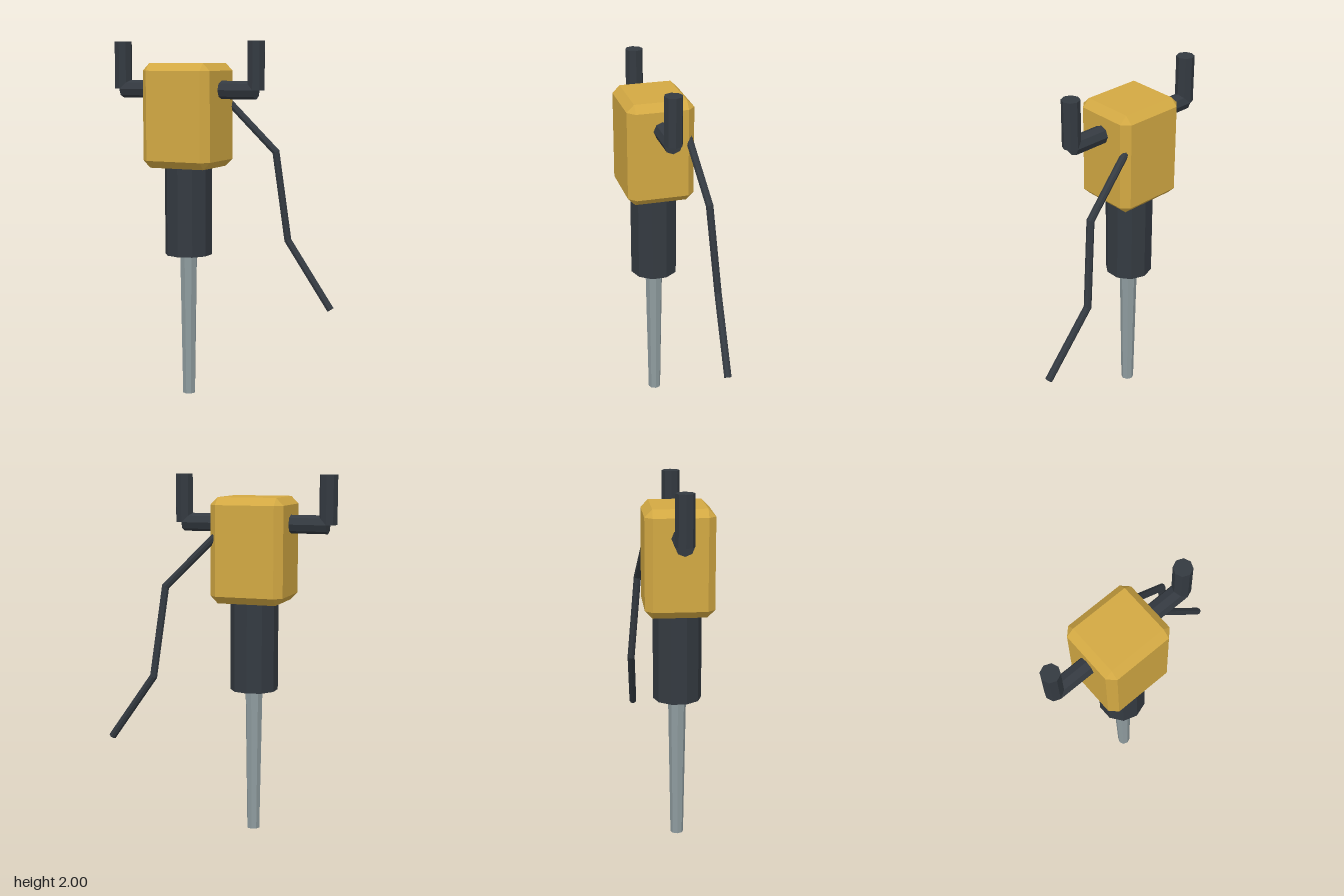
import * as THREE from 'three';
import { ConvexGeometry } from 'three/addons/geometries/ConvexGeometry.js';

const CX = -0.17, CZ = 0.03; // axis of the tool

// Box with a flat chamfer on every edge
function chamferedBox(w, h, d, c) {
  const points = [];
  for (const x of [-1, 1]) for (const y of [-1, 1]) for (const z of [-1, 1]) {
    const [a, b, e] = [x * w / 2, y * h / 2, z * d / 2];
    points.push(
      new THREE.Vector3(a, b - y * c, e - z * c),
      new THREE.Vector3(a - x * c, b, e - z * c),
      new THREE.Vector3(a - x * c, b - y * c, e));
  }
  return new ConvexGeometry(points);
}

// Capped tube along straight segments with mitred joints
function mitredTube(path, radius, sides) {
  const pts = path.map(p => new THREE.Vector3(...p));
  const dirs = pts.slice(1).map((p, i) => p.clone().sub(pts[i]).normalize());
  const u = new THREE.Vector3(0, 0, 1).cross(dirs[0]).normalize();
  const v = dirs[0].clone().cross(u);
  const pos = [], index = [];
  pts.forEach((p, i) => {
    const along = dirs[Math.max(0, i - 1)];
    const normal = along.clone().add(dirs[Math.min(i, dirs.length - 1)]).normalize();
    for (let s = 0; s < sides; s++) {
      const t = s / sides * Math.PI * 2;
      // First ring is round; later rings slide along the segment to the mitre plane
      const q = i === 0
        ? p.clone().addScaledVector(u, radius * Math.cos(t)).addScaledVector(v, radius * Math.sin(t))
        : new THREE.Vector3().fromArray(pos, ((i - 1) * sides + s) * 3);
      const shift = p.clone().sub(q).dot(normal) / along.dot(normal);
      q.addScaledVector(along, shift);
      pos.push(q.x, q.y, q.z);
      if (i > 0) {
        const n = (s + 1) % sides, a = (i - 1) * sides, b = i * sides;
        index.push(a + s, a + n, b + s, a + n, b + n, b + s);
      }
    }
  });
  const last = (pts.length - 1) * sides;
  for (let s = 1; s < sides - 1; s++) index.push(0, s + 1, s, last, last + s, last + s + 1);
  const g = new THREE.BufferGeometry();
  g.setAttribute('position', new THREE.Float32BufferAttribute(pos, 3));
  g.setIndex(index);
  const flat = g.toNonIndexed();
  flat.computeVertexNormals();
  return flat;
}

export function createModel() {
  const model = new THREE.Group();
  model.name = 'jackhammer';
  const paint = (name, color) => {
    const m = new THREE.MeshStandardMaterial({ color, flatShading: true });
    m.name = name;
    return m;
  };
  const yellow = paint('yellow housing', 0xd3a943);
  const dark = paint('dark rubber', 0x343a41);
  const steel = paint('steel', 0x8f9c9f);

  const add = (name, geometry, material, x = 0, y = 0, z = 0) => {
    const mesh = new THREE.Mesh(geometry, material);
    mesh.name = name;
    mesh.position.set(x, y, z);
    model.add(mesh);
    return mesh;
  };

  // Central column: housing, barrel and tapered chisel
  add('housing', chamferedBox(0.41, 0.575, 0.37, 0.041), yellow, CX, 1.5925, CZ);
  add('barrel', new THREE.CylinderGeometry(0.133, 0.133, 0.5, 10), dark, CX, 1.06, CZ);
  add('chisel', new THREE.CylinderGeometry(0.05, 0.036, 0.83, 8), steel, CX, 0.415, CZ);

  // Crossbar with an upright grip at each end
  const barY = 1.735, reach = 0.412;
  const bar = add('crossbar', new THREE.CylinderGeometry(0.05, 0.05, reach * 2, 8), dark, CX, barY, CZ);
  bar.rotation.z = Math.PI / 2;
  for (const [name, side] of [['leftGrip', 1], ['rightGrip', -1]]) {
    add(name, new THREE.CylinderGeometry(0.05, 0.05, 2 - barY, 8), dark,
      CX + side * reach, (2 + barY) / 2, CZ);
  }

  // Hose hanging from the back left edge of the housing
  add('hose', mitredTube([
    [-0.01, 1.685, -0.12],
    [0.283, 1.39, -0.157],
    [0.344, 0.89, -0.195],
    [0.612, 0.52, -0.173],
  ], 0.021, 8), dark);

  return model;
}
